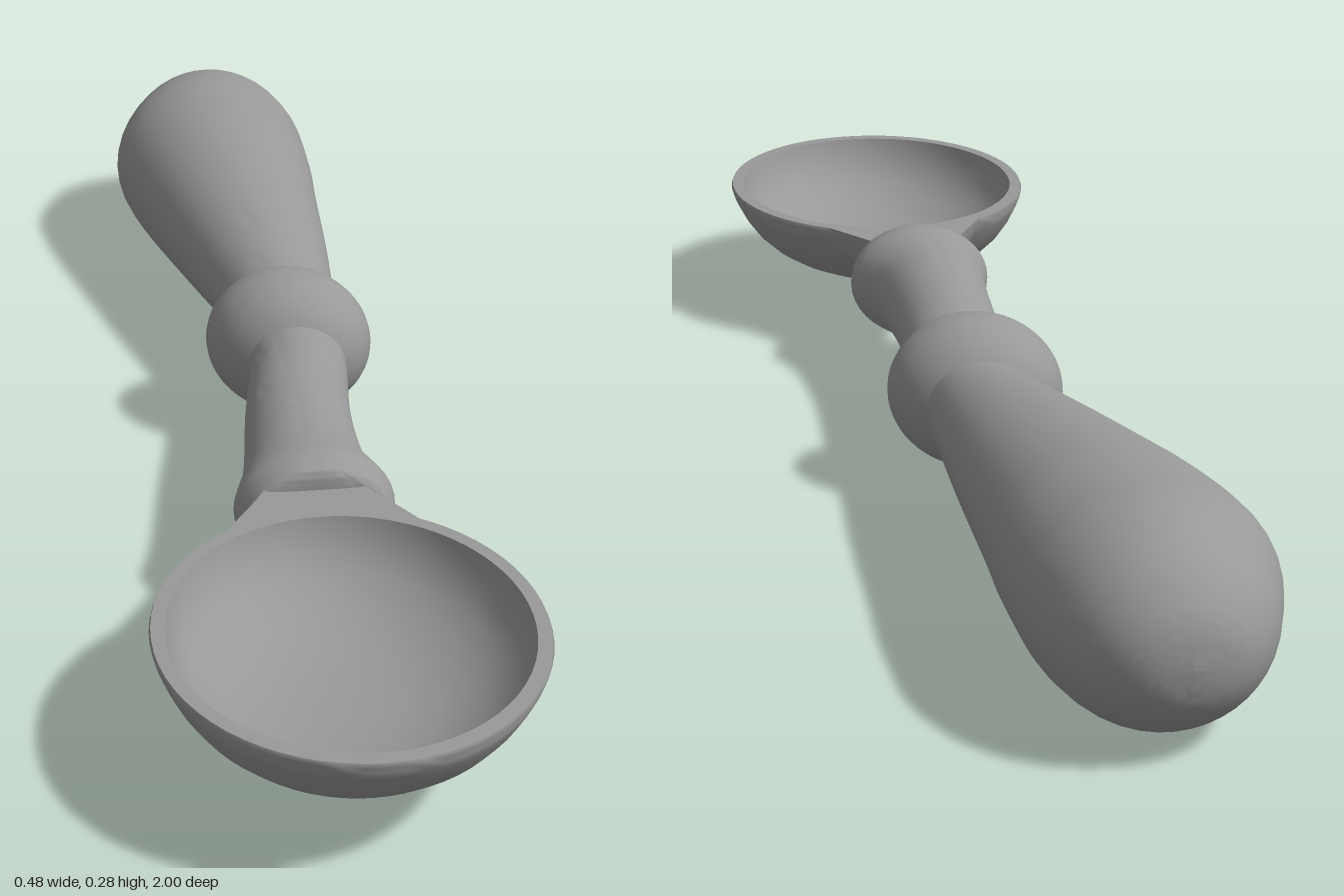
import * as THREE from 'three';
import { toCreasedNormals } from 'three/addons/utils/BufferGeometryUtils.js';

const material = new THREE.MeshStandardMaterial({ color: 0x999999 });

function addPart(group, name, geometry) {
  const mesh = new THREE.Mesh(toCreasedNormals(geometry, 1), material);
  mesh.name = name;
  group.add(mesh);
  return mesh;
}

// Skin over closed rings; point(i, angle) gives a corner of ring i
function loft(rings, sides, point) {
  const pos = [], index = [];
  for (let i = 0; i < rings; i++) {
    for (let j = 0; j < sides; j++) {
      pos.push(...point(i, (j / sides) * Math.PI * 2));
      if (i === rings - 1) continue;
      const a = i * sides + j, b = i * sides + ((j + 1) % sides);
      index.push(a, b, a + sides, b, b + sides, a + sides);
    }
  }
  const g = new THREE.BufferGeometry();
  g.setAttribute('position', new THREE.Float32BufferAttribute(pos, 3));
  g.setIndex(index);
  return g;
}

// Turned wooden shape along z; stations are [z, centre x, radius x, centre y, radius y]
function turned(stations, perSpan = 5, sides = 40) {
  const path = new THREE.CatmullRomCurve3(
    stations.map(([z, x, , y]) => new THREE.Vector3(x, y, z)), false, 'catmullrom');
  const radii = new THREE.CatmullRomCurve3(
    stations.map(([, , rx, , ry]) => new THREE.Vector3(rx, ry, 0)), false, 'catmullrom');
  const n = (stations.length - 1) * perSpan;
  return loft(n + 1, sides, (i, a) => {
    const c = path.getPoint(i / n), r = radii.getPoint(i / n);
    return [c.x + Math.max(r.x, 0.0005) * Math.cos(a), c.y + Math.max(r.y, 0.0005) * Math.sin(a), c.z];
  });
}

// Outer bowl profile: [scale of the rim outline, height], bottom to rim
const outer = [[0.002, 0.046], [0.12, 0.047], [0.25, 0.051], [0.4, 0.059], [0.54, 0.07], [0.66, 0.084],
  [0.76, 0.1], [0.85, 0.121], [0.92, 0.145], [0.97, 0.169], [0.99, 0.181], [1, 0.19], [0.992, 0.195]];
// Inner hollow, rim to bottom
const inner = [[0.92, 0.195], [0.905, 0.178], [0.86, 0.152], [0.79, 0.13], [0.69, 0.111],
  [0.58, 0.096], [0.45, 0.084], [0.3, 0.077], [0.15, 0.074], [0.002, 0.073]];

// Outline scale of the outer bowl at a given height
function bowlScale(y) {
  for (let i = 1; i < outer.length - 1; i++) {
    const [s0, y0] = outer[i - 1], [s1, y1] = outer[i];
    if (y <= y1) return s0 + ((s1 - s0) * (y - y0)) / (y1 - y0);
  }
  return 1;
}

export function createModel() {
  const spoon = new THREE.Group();
  spoon.name = 'spoon';

  // Bowl: oval rings up the outside, over the rim and down the hollow
  const profile = [...outer, ...inner];
  addPart(spoon, 'bowl', loft(profile.length, 64, (i, a) => {
    const [s, y] = profile[i];
    const lean = i < outer.length ? -0.012 * (1 - s) : 0;
    return [0.24 * s * Math.cos(a) + lean, y, 0.719 - 0.277 * s * Math.sin(a)];
  }));

  // Stem: rounded underneath, flares outwards and ends within the bowl wall
  const stem = new THREE.BoxGeometry(1, 1, 1, 16, 8, 14);
  const p = stem.attributes.position;
  for (let i = 0; i < p.count; i++) {
    const v = p.getX(i) * 2, w = p.getY(i) + 0.5, u = p.getZ(i) + 0.5;
    const y = 0.092 + 0.103 * w + 0.05 * (1 - w) * v * v;
    const half = (0.056 + 0.015 * u + 0.06 * u * u) * (0.8 + 0.2 * Math.sqrt(w));
    const x = half * v;
    const s = bowlScale(y) - 0.035;
    const end = 0.719 - 0.277 * s * Math.sqrt(Math.max(0, 1 - (x / (0.24 * s)) ** 2));
    p.setXYZ(i, x, y, 0.36 + u * (end - 0.36));
  }
  addPart(spoon, 'stem', stem);

  // Neck with a flared collar and a flat, softened front end
  addPart(spoon, 'neck', turned([
    [-0.12, 0.035, 0.07, 0.143, 0.064], [-0.03, 0.033, 0.071, 0.143, 0.064],
    [0.1, 0.016, 0.074, 0.143, 0.069], [0.2, 0.008, 0.078, 0.144, 0.075],
    [0.28, 0.004, 0.086, 0.144, 0.08], [0.325, 0.005, 0.1, 0.143, 0.085],
    [0.35, 0.006, 0.107, 0.143, 0.087], [0.375, 0.007, 0.102, 0.143, 0.083],
    [0.392, 0.007, 0.095, 0.143, 0.078], [0.397, 0.007, 0.082, 0.143, 0.066],
    [0.398, 0.007, 0.04, 0.143, 0.035], [0.398, 0.007, 0, 0.143, 0]]));

  // Slightly tilted bead between neck and grip
  const bead = new THREE.SphereGeometry(1, 40, 28);
  bead.scale(0.122, 0.11, 0.098);
  const beadMesh = addPart(spoon, 'bead', bead);
  beadMesh.position.set(0.031, 0.145, -0.127);
  beadMesh.rotation.y = -0.3;

  // Pear-shaped grip with a rounded end
  addPart(spoon, 'grip', turned([
    [-1, -0.012, 0, 0.143, 0], [-0.993, -0.012, 0.048, 0.143, 0.042],
    [-0.975, -0.012, 0.083, 0.143, 0.075], [-0.94, -0.012, 0.115, 0.143, 0.108],
    [-0.89, -0.013, 0.138, 0.143, 0.13], [-0.83, -0.016, 0.155, 0.143, 0.139],
    [-0.77, -0.016, 0.158, 0.142, 0.139], [-0.68, -0.009, 0.15, 0.143, 0.133],
    [-0.6, -0.002, 0.138, 0.143, 0.124], [-0.4, 0.019, 0.108, 0.143, 0.099],
    [-0.22, 0.037, 0.078, 0.143, 0.073], [-0.13, 0.04, 0.07, 0.143, 0.066]]));

  return spoon;
}
